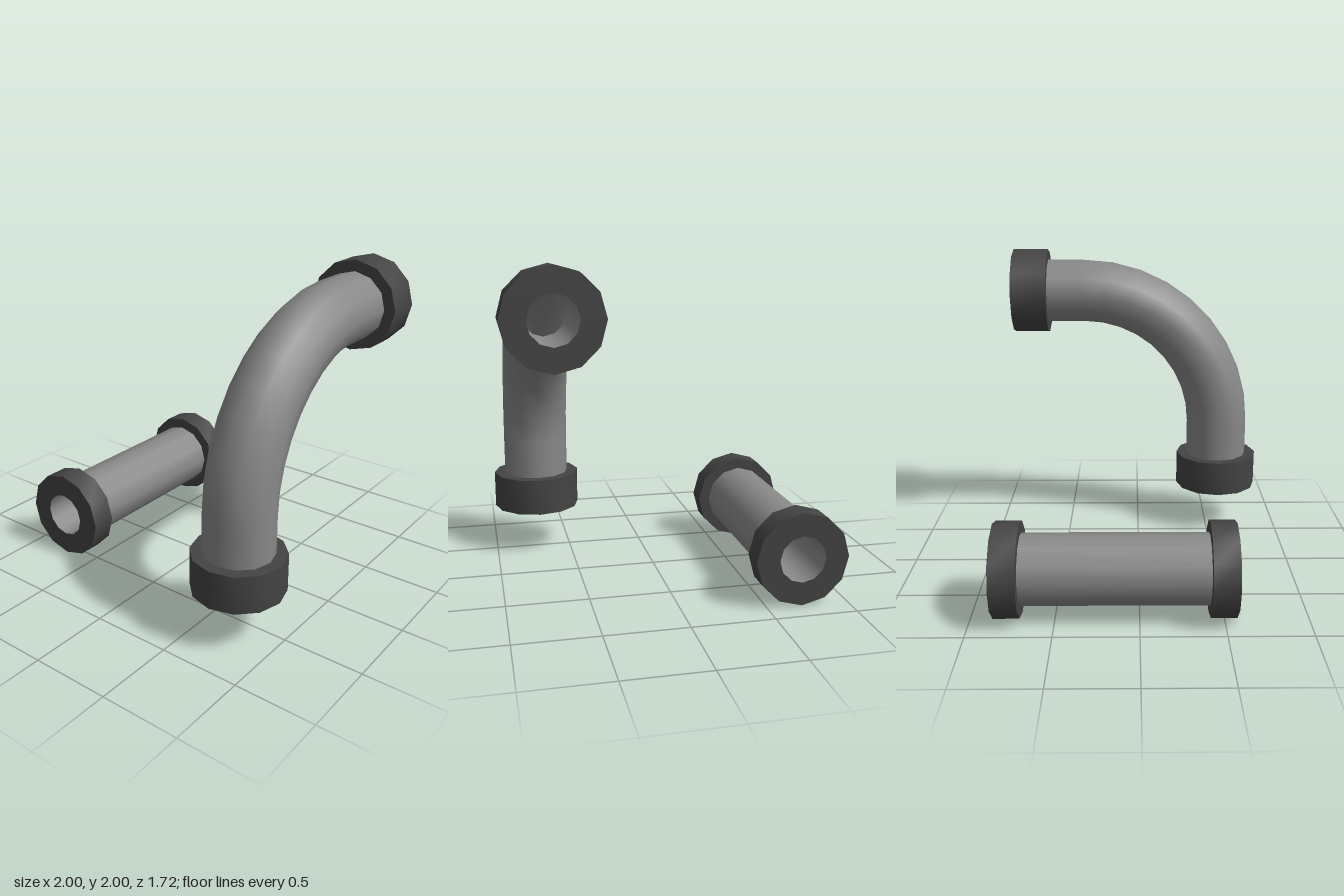
import * as THREE from 'three';
import { toCreasedNormals } from 'three/addons/utils/BufferGeometryUtils.js';

const SIDES = 12;
const BORE = 0.143, PIPE = 0.214, FLANGE = 0.286;
const END = 0.857; // z of the pipe mouths at the back
const BEND = 0.947; // centreline radius of the elbow

const pipeMat = new THREE.MeshStandardMaterial({ color: 0x888888 });
const boreMat = new THREE.MeshStandardMaterial({ color: 0x888888, side: THREE.DoubleSide });
const flangeMat = new THREE.MeshStandardMaterial({ color: 0x444444 });

function place(geometry, material, name, y, z, rotX) {
  const mesh = new THREE.Mesh(geometry, material);
  mesh.name = name;
  mesh.position.set(0, y, z);
  mesh.rotation.x = rotX;
  return mesh;
}

// Ring collar whose open mouth is at the given point, running along local +y
function flange(name, height, y, z, rotX) {
  const profile = [[BORE, 0], [FLANGE, 0], [FLANGE, height], [PIPE - 0.02, height]]
    .map(([r, h]) => new THREE.Vector2(r, h));
  const geometry = toCreasedNormals(new THREE.LatheGeometry(profile, SIDES), 0.7);
  return place(geometry, flangeMat, name, y, z, rotX);
}

// Hollow straight run along local +y: outer wall and bore
function straightRun(name, length, y, z, rotX) {
  const wall = (r) => new THREE.CylinderGeometry(r, r, length, SIDES, 1, true).translate(0, length / 2, 0);
  return [
    place(wall(PIPE), pipeMat, name + 'Wall', y, z, rotX),
    place(wall(BORE), boreMat, name + 'Bore', y, z, rotX),
  ];
}

// Hollow quarter bend from the +z side up to the top
function bend(name, y, z) {
  const wall = (r) => new THREE.TorusGeometry(BEND, r, SIDES, 9, Math.PI / 2).rotateY(-Math.PI / 2);
  return [
    place(wall(PIPE), pipeMat, name + 'Wall', y, z, 0),
    place(wall(BORE), boreMat, name + 'Bore', y, z, 0),
  ];
}

export function createModel() {
  const model = new THREE.Group();
  model.name = 'pipeSet';
  const back = Math.PI / 2;

  // Short straight pipe lying along z
  const straight = new THREE.Group();
  straight.name = 'straightPipe';
  straight.position.x = -0.714;
  straight.add(
    ...straightRun('pipe', END + 0.57, FLANGE, -END, back),
    flange('backFlange', 0.157, FLANGE, -END, back),
    flange('frontFlange', 0.157, FLANGE, 0.57, -back),
  );

  // Elbow pipe rising from the front and turning to the back
  const elbow = new THREE.Group();
  elbow.name = 'elbowPipe';
  elbow.position.x = 0.714;
  const bottomY = 0.29, topY = 1.714, frontZ = 0.572;
  const bendY = topY - BEND, bendZ = frontZ - BEND;
  elbow.add(
    ...straightRun('lowerRun', bendY - bottomY, bottomY, frontZ, 0),
    ...bend('bend', bendY, bendZ),
    ...straightRun('upperRun', END + bendZ, topY, -END, back),
    flange('lowerFlange', 0.237, bottomY, frontZ, 0),
    flange('upperFlange', 0.237, topY, -END, back),
  );

  model.add(straight, elbow);
  return model;
}
